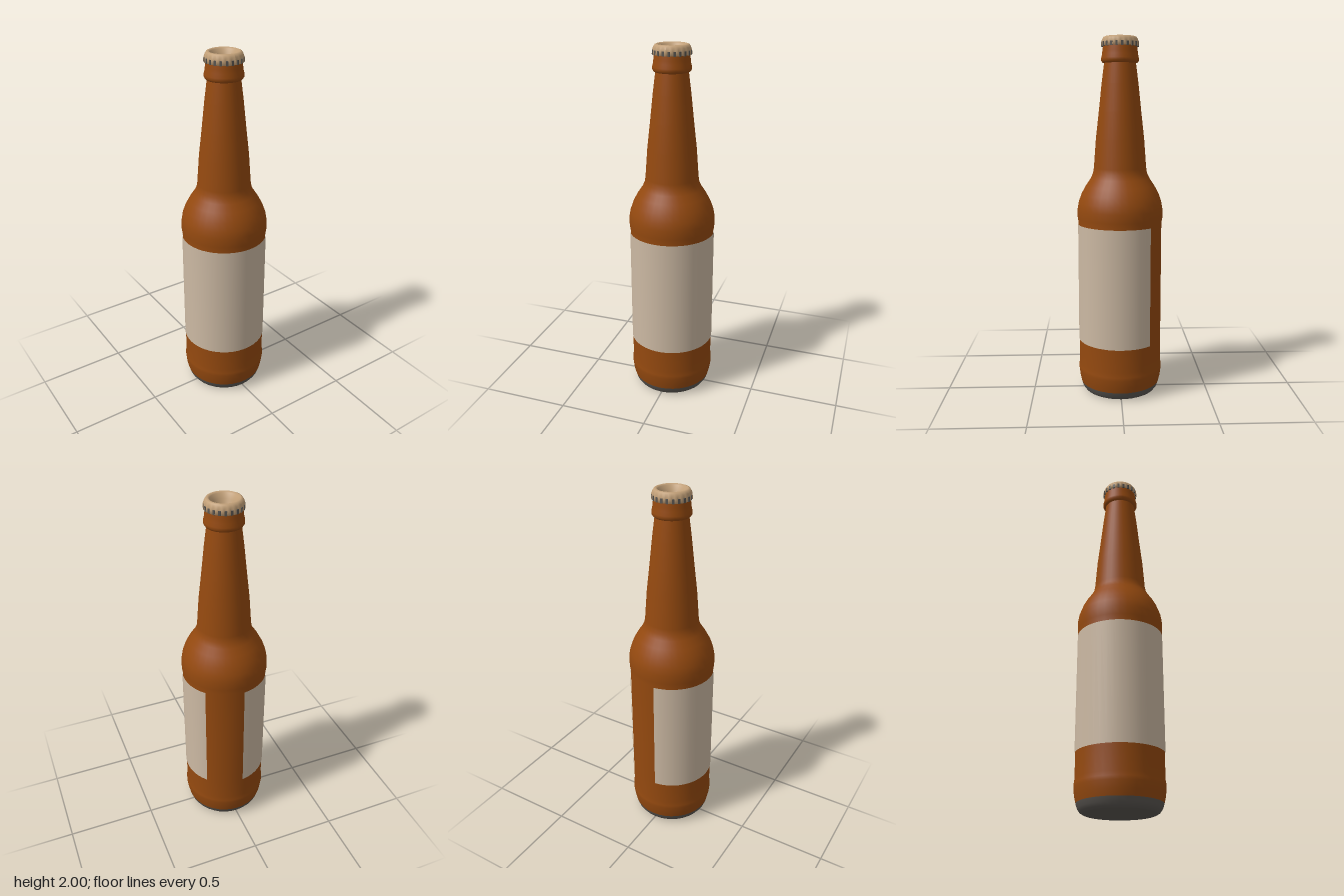
import * as THREE from 'three';

const SEGMENTS = 36;

function flatColour(name, color) {
  const m = new THREE.MeshStandardMaterial({ color });
  m.name = name;
  return m;
}

// Revolves [radius, height] pairs listed from the outside bottom upwards
function lathe(name, points, material, segments = SEGMENTS, start = 0, length = Math.PI * 2) {
  const profile = points.map(([r, y]) => new THREE.Vector2(r, y));
  const mesh = new THREE.Mesh(new THREE.LatheGeometry(profile, segments, start, length), material);
  mesh.name = name;
  return mesh;
}

export function createModel() {
  const amber = flatColour('amber glass', 0x94490f);
  const paper = flatColour('label paper', 0xccb9a3);
  const tan = flatColour('cap tan', 0xc2a078);
  const grey = flatColour('dark grey', 0x5a5651);

  const bottle = new THREE.Group();
  bottle.name = 'bottle';

  // Grey foot with its flat underside
  bottle.add(lathe('underside', [[0, 0.006], [0.17, 0.006], [0.19, 0]], grey));
  bottle.add(lathe('foot', [[0.19, 0], [0.205, 0.008], [0.217, 0.025], [0.225, 0.05]], grey));

  // Glass body, shoulder and tapering neck
  bottle.add(lathe('glassBody', [
    [0.225, 0.05], [0.233, 0.085], [0.238, 0.125], [0.238, 0.145], [0.234, 0.17],
    [0.234, 0.3], [0.234, 0.65], [0.234, 0.98], [0.239, 1.01], [0.239, 1.06],
    [0.232, 1.1], [0.216, 1.145], [0.192, 1.19], [0.165, 1.23], [0.151, 1.26],
    [0.146, 1.29], [0.134, 1.45], [0.117, 1.6], [0.101, 1.75], [0.087, 1.86],
  ], amber));

  // Raised collar below the cap
  bottle.add(lathe('collar', [
    [0.085, 1.858], [0.096, 1.861], [0.103, 1.872], [0.103, 1.885],
    [0.098, 1.905], [0.096, 1.925], [0.092, 1.955],
  ], amber));

  // Paper label, wrapped around with a gap at the back
  const deg = Math.PI / 180;
  bottle.add(lathe('label', [[0.2375, 0.305], [0.2375, 0.975]], paper, SEGMENTS, -174 * deg, 306.5 * deg));

  // Crown cap: crimped skirt, rounded rim and hollow top
  const teeth = 21;
  const cap = new THREE.Group();
  cap.name = 'cap';
  const crown = lathe('crown', [
    [0.088, 1.95], [0.101, 1.948], [0.1, 1.97], [0.097, 1.985], [0.09, 1.996],
    [0.08, 2], [0.07, 1.993], [0.058, 1.968], [0.044, 1.935],
  ], tan, teeth * 4);
  const pos = crown.geometry.attributes.position;
  for (let i = 0; i < pos.count; i++) {
    const x = pos.getX(i), z = pos.getZ(i);
    const flare = Math.hypot(x, z) > 0.0985 ? 0.03 : 0;
    const s = 1 + flare * Math.cos(Math.atan2(x, z) * teeth);
    pos.setXYZ(i, x * s, pos.getY(i), z * s);
  }
  crown.geometry.computeVertexNormals();
  cap.add(crown);

  // Dark notches between the crimps
  const notchShape = new THREE.BoxGeometry(0.012, 0.024, 0.008);
  for (let i = 0; i < teeth; i++) {
    const a = ((i + 0.5) / teeth) * Math.PI * 2;
    const notch = new THREE.Mesh(notchShape, grey);
    notch.name = 'notch';
    notch.position.set(Math.sin(a) * 0.098, 1.958, Math.cos(a) * 0.098);
    notch.rotation.y = a;
    cap.add(notch);
  }

  // Grey disc at the bottom of the hollow
  const disc = new THREE.Mesh(new THREE.CircleGeometry(0.045, SEGMENTS), grey);
  disc.name = 'capDisc';
  disc.rotation.x = -Math.PI / 2;
  disc.position.y = 1.936;
  cap.add(disc);
  bottle.add(cap);

  return bottle;
}
